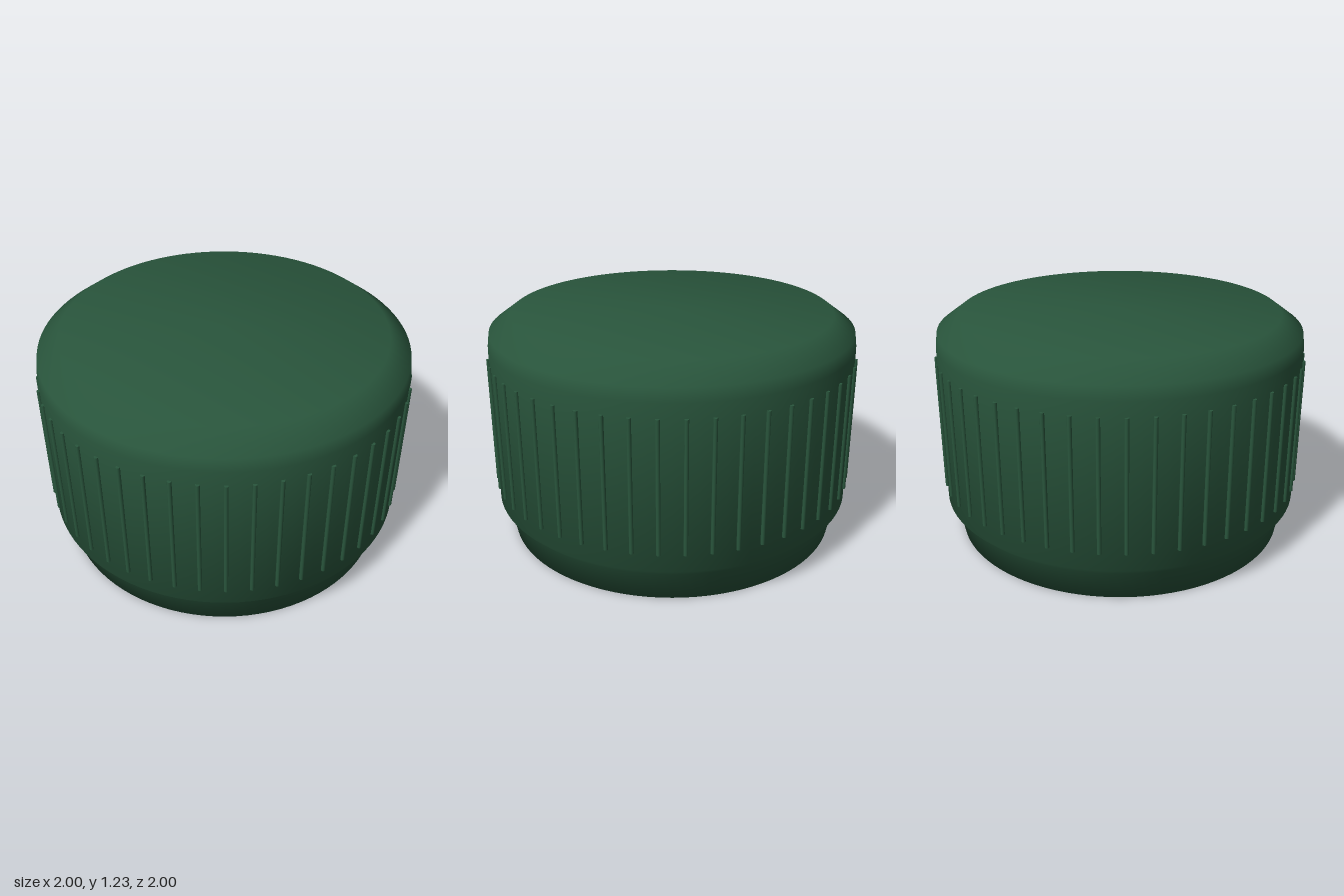
import * as THREE from 'three';

const RIBS = 48;
const SIDES = 96;

// Lathe whose normals average neighbouring profile segments evenly, for soft shading
function softLathe(points) {
  const profile = points.map(([r, y]) => new THREE.Vector2(r, y));
  const geometry = new THREE.LatheGeometry(profile, SIDES);
  const segmentNormals = profile.slice(1).map((p, j) => {
    const d = p.clone().sub(profile[j]).normalize();
    return new THREE.Vector2(d.y, -d.x);
  });
  const last = segmentNormals.length - 1;
  const pointNormals = profile.map((p, j) =>
    segmentNormals[Math.max(j - 1, 0)].clone().add(segmentNormals[Math.min(j, last)]).normalize());
  for (let i = 0; i <= SIDES; i++) {
    const angle = (i / SIDES) * Math.PI * 2;
    pointNormals.forEach((n, j) => {
      geometry.attributes.normal.setXYZ(
        i * profile.length + j, n.x * Math.sin(angle), n.y, n.x * Math.cos(angle));
    });
  }
  return geometry;
}

export function createModel() {
  const model = new THREE.Group();
  const material = new THREE.MeshStandardMaterial({ color: 0x29553c, side: THREE.DoubleSide });

  // Thin hollow shell: inside from ceiling to lip, then outside from lip to top
  const shell = new THREE.Mesh(softLathe([
    [0, 1.21], [0.855, 1.21], [0.96, 1.13], [0.97, 1.06], [0.97, 0.207], [0.926, 0.163],
    [0.912, 0],
    [0.94, 0.155], [0.986, 0.2], [0.986, 1.07], [0.976, 1.14], [0.86, 1.225], [0, 1.225],
  ]), material);
  shell.name = 'capShell';
  model.add(shell);

  // Thin vertical grip ribs around the side wall
  const ribs = new THREE.Group();
  ribs.name = 'gripRibs';
  const ribGeometry = new THREE.CylinderGeometry(0.011, 0.011, 0.7, 10);
  for (let i = 0; i < RIBS; i++) {
    const angle = (i / RIBS) * Math.PI * 2;
    const rib = new THREE.Mesh(ribGeometry, material);
    rib.name = 'gripRib';
    rib.position.set(Math.sin(angle) * 0.989, 0.645, Math.cos(angle) * 0.989);
    rib.rotation.y = angle;
    ribs.add(rib);
  }
  model.add(ribs);

  return model;
}
